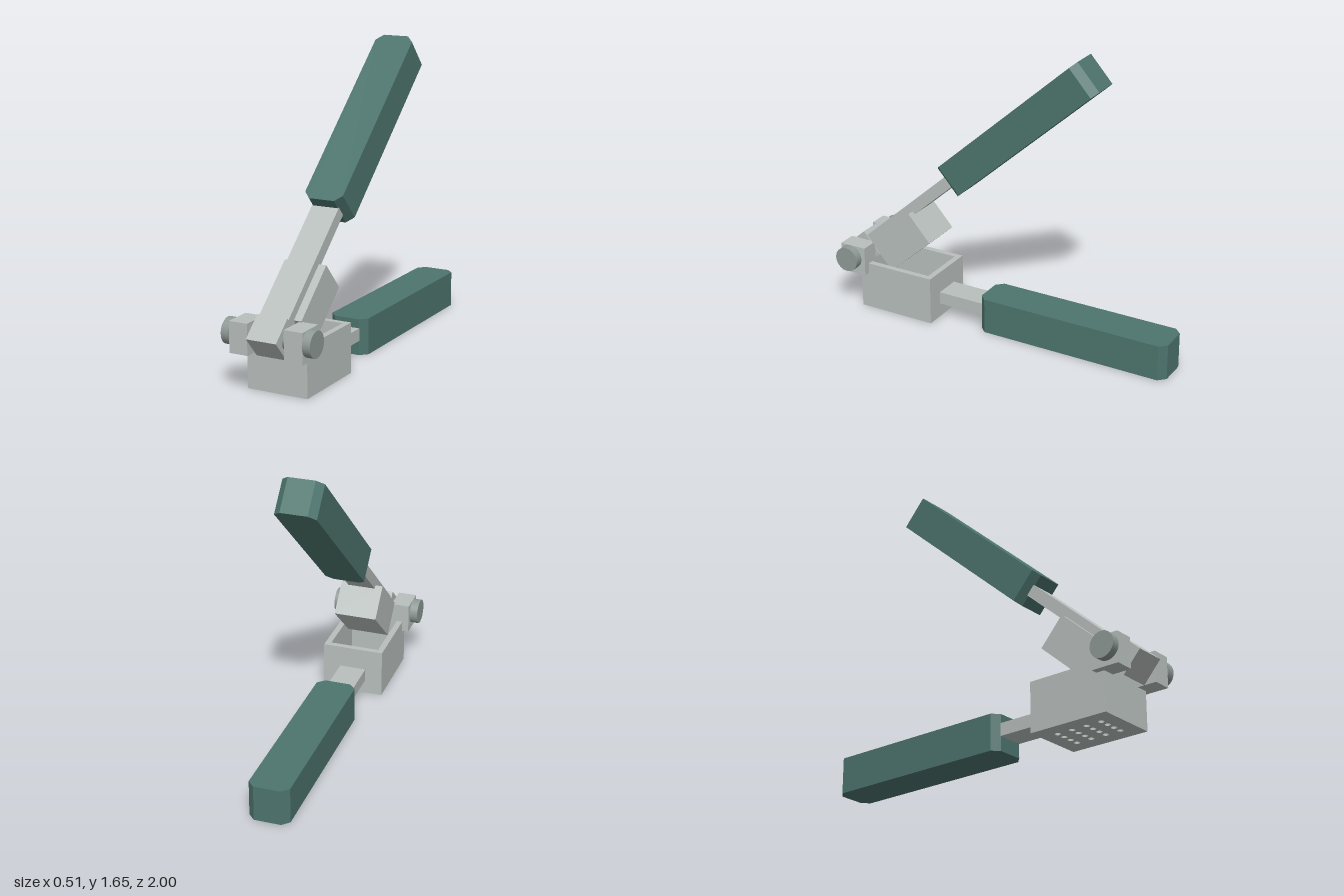
import * as THREE from 'three';

export function createModel() {
  const steel = new THREE.MeshStandardMaterial({ name: 'steel', color: 0xb8bfbc });
  const pinMetal = new THREE.MeshStandardMaterial({ name: 'pinMetal', color: 0x8f9a96 });
  const grip = new THREE.MeshStandardMaterial({ name: 'greenGrip', color: 0x4d746d });

  const model = new THREE.Group();
  model.name = 'handPress';

  const add = (parent, name, geometry, material) => {
    const mesh = new THREE.Mesh(geometry, material);
    mesh.name = name;
    parent.add(mesh);
    return mesh;
  };

  // Box given by its lower and upper limits on each axis
  const box = (parent, name, x0, x1, y0, y1, z0, z1, material = steel) => {
    const mesh = add(parent, name, new THREE.BoxGeometry(x1 - x0, y1 - y0, z1 - z0), material);
    mesh.position.set((x0 + x1) / 2, (y0 + y1) / 2, (z0 + z1) / 2);
    return mesh;
  };

  // Plan outline (x, -z) raised to a height
  const slab = (shape, height) =>
    new THREE.ExtrudeGeometry(shape, { depth: height, bevelEnabled: false, curveSegments: 10 }).rotateX(-Math.PI / 2);
  const rect = (Type, halfX, halfZ) => new Type([
    [-halfX, -halfZ], [halfX, -halfZ], [halfX, halfZ], [-halfX, halfZ],
  ].map(([x, y]) => new THREE.Vector2(x, y)));

  // Grip with clipped corners, running towards -z from its own origin
  const gripGeometry = (length, height) => {
    const w = 0.111, c = 0.038;
    const outline = [
      [-w + c, 0], [w - c, 0], [w, c], [w, length - c],
      [w - c, length], [-w + c, length], [-w, length - c], [-w, c],
    ];
    return slab(new THREE.Shape(outline.map(([x, y]) => new THREE.Vector2(x, y))), height);
  };

  // Cup: open walls over a perforated floor
  const cupZ = 0.618, halfX = 0.173, halfZ = 0.227, floorHeight = 0.03;
  const wallShape = rect(THREE.Shape, halfX, halfZ);
  wallShape.holes.push(rect(THREE.Path, halfX - 0.033, halfZ - 0.033));
  add(model, 'cupWalls', slab(wallShape, 0.272), steel).position.z = cupZ;

  const floorShape = rect(THREE.Shape, halfX - 0.033, halfZ - 0.033);
  for (let i = 0; i < 4; i++) {
    for (let j = 0; j < 4; j++) {
      const hole = new THREE.Path();
      hole.absarc((i - 1.5) * 0.052, (j - 1.5) * 0.088, 0.016, 0, Math.PI * 2, true);
      floorShape.holes.push(hole);
    }
  }
  add(model, 'perforatedFloor', slab(floorShape, floorHeight), steel).position.z = cupZ;

  // Lower handle
  box(model, 'lowerRod', -0.075, 0.075, 0.08, 0.15, 0.1, 0.392);
  add(model, 'lowerGrip', gripGeometry(1.12, 0.2), grip).position.z = 0.12;

  // Hinge lugs and pin
  const pinY = 0.308, pinZ = 0.89;
  const pin = (name, radius, length, x) => {
    const geometry = new THREE.CylinderGeometry(radius, radius, length, 32).rotateZ(Math.PI / 2);
    add(model, name, geometry, pinMetal).position.set(x, pinY, pinZ);
  };
  for (const side of [-1, 1]) {
    const name = side > 0 ? 'left' : 'right';
    const lug = box(model, name + 'HingeLug', 0.105, 0.21, 0.212, 0.378, 0.797, 0.953);
    lug.position.x *= side;
    pin(name + 'PinHead', 0.07, 0.045, side * 0.2325);
  }
  pin('hingePin', 0.05, 0.42, 0);

  // Upper lever, swung open around the pin
  const lever = new THREE.Group();
  lever.name = 'upperLever';
  lever.position.set(0, pinY, pinZ);
  lever.rotation.x = THREE.MathUtils.degToRad(41.9);
  model.add(lever);
  box(lever, 'hingeHub', -0.086, 0.086, -0.075, 0.075, -0.075, 0.075);
  box(lever, 'upperRod', -0.078, 0.078, -0.018, 0.047, -0.79, 0);
  box(lever, 'plunger', -0.121, 0.121, -0.196, 0.002, -0.45, -0.11);
  add(lever, 'upperGrip', gripGeometry(1.121, 0.187), grip).position.set(0, -0.078, -0.768);

  return model;
}
